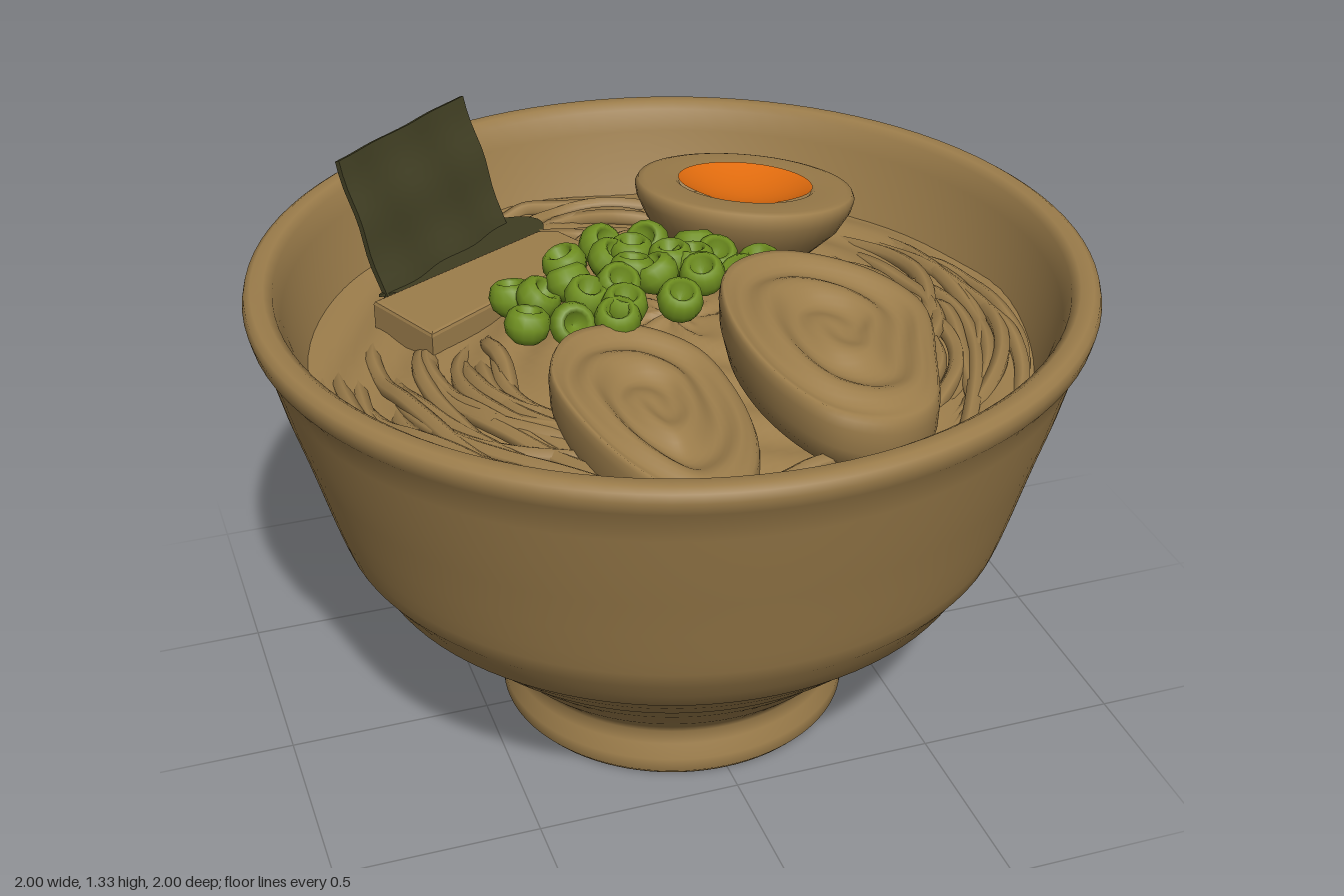
import * as THREE from 'three';

const mat = (name, color, side = THREE.FrontSide) => {
  const m = new THREE.MeshStandardMaterial({ color, side });
  m.name = name;
  return m;
};

// small seeded generator
let seed = 7;
const rnd = (a, b) => {
  seed = (seed * 16807) % 2147483647;
  return a + (b - a) * (seed / 2147483647);
};

const soupY = (x, z) => {
  const r = Math.hypot(x, z), a = Math.atan2(z, x);
  return 0.96 + 0.09 * Math.exp(-r * r / 0.25) + 0.008 * Math.sin(r * 38 + a * 3 + 2 * Math.sin(a * 4));
};

// closed disc of rings: fn(ring, turn) gives a point, turn runs 0..1 from +x to +z
function disc(rings, segs, fn) {
  const pos = [], idx = [];
  for (let i = 0; i <= rings; i++)
    for (let j = 0; j < segs; j++) pos.push(...fn(i, j / segs));
  for (let i = 0; i < rings; i++)
    for (let j = 0; j < segs; j++) {
      const a = i * segs + j, b = i * segs + (j + 1) % segs;
      idx.push(a, b + segs, a + segs, a, b, b + segs);
    }
  const g = new THREE.BufferGeometry();
  g.setAttribute('position', new THREE.Float32BufferAttribute(pos, 3));
  g.setIndex(idx);
  g.computeVertexNormals();
  return g;
}

const lathe = (pts, segs) => new THREE.LatheGeometry(pts.map(p => new THREE.Vector2(...p)), segs);

export function createModel() {
  const root = new THREE.Group();
  const tan = mat('tan', 0x9c7d4b);
  const orange = mat('yolkOrange', 0xe26c0e);
  const green = mat('onionGreen', 0x6f8f20);
  const dark = mat('seaweedDark', 0x3f3d22, THREE.DoubleSide);
  const add = (name, geo, m, parent = root) => {
    const mesh = new THREE.Mesh(geo, m);
    mesh.name = name;
    parent.add(mesh);
    return mesh;
  };

  // bowl with foot, throwing ridges and rounded rim
  add('bowl', lathe([
    [0, 0], [0.425, 0], [0.425, 0.001], [0.438, 0.015], [0.438, 0.05], [0.42, 0.085], [0.415, 0.12], [0.43, 0.145],
    [0.475, 0.19], [0.49, 0.215], [0.55, 0.27], [0.61, 0.33], [0.63, 0.345], [0.69, 0.405], [0.71, 0.43],
    [0.755, 0.465], [0.775, 0.505], [0.82, 0.565], [0.835, 0.61], [0.85, 0.66], [0.872, 0.74], [0.9, 0.84],
    [0.93, 0.94], [0.955, 1.04], [0.972, 1.1], [0.993, 1.13], [1, 1.16], [0.995, 1.18], [0.98, 1.19],
    [0.95, 1.19], [0.93, 1.175], [0.915, 1.12], [0.895, 1.05], [0.87, 0.98], [0.84, 0.9]
  ], 96), tan);

  // broth surface, rising to a mound in the middle
  add('broth', disc(36, 96, (i, t) => {
    const r = 0.88 * i / 36, a = t * Math.PI * 2;
    const x = r * Math.cos(a), z = r * Math.sin(a);
    return [x, soupY(x, z), z];
  }), tan);

  // noodle strands sweeping around the bowl: start angle, end angle, count, inner radius
  const noodles = new THREE.Group();
  noodles.name = 'noodles';
  root.add(noodles);
  for (const [from, to, count, inner] of [
    [95, 205, 20, 0.44], [-40, 62, 22, 0.4], [50, 110, 8, 0.68], [245, 295, 8, 0.45]
  ]) {
    for (let k = 0; k < count; k++) {
      const r0 = inner + (0.82 - inner) * (k + 0.5) / count;
      const span = rnd(0.5, 0.85) * (to - from);
      const a0 = from + rnd(0, to - from - span), drift = rnd(-0.09, 0.09), ph = rnd(0, 6);
      const pts = [];
      for (let s = 0; s <= 8; s++) {
        const t = s / 8, a = THREE.MathUtils.degToRad(a0 + span * t);
        const r = Math.min(0.835, r0 + drift * (t - 0.5) * 2 + 0.02 * Math.sin(t * 7 + ph));
        const x = r * Math.cos(a), z = r * Math.sin(a);
        pts.push(new THREE.Vector3(x, soupY(x, z) - 0.03 + 0.045 * Math.sin(Math.PI * t), z));
      }
      add('noodle', new THREE.TubeGeometry(new THREE.CatmullRomCurve3(pts), 28, 0.021, 6), tan, noodles);
    }
  }

  // meat slices: leaning rounded slabs with a swirl on top
  const slice = (name, cx, cy, cz, outline) => {
    const curve = new THREE.CatmullRomCurve3(outline.map(([x, z]) => new THREE.Vector3(x, 0, z)), true);
    const rim = [[0.985, -0.012], [1, -0.035], [0.99, -0.09], [0.93, -0.15], [0, -0.17]];
    add(name, disc(20 + rim.length, 64, (i, t) => {
      const u = Math.min(i / 20, 1) * 0.96;
      const [s, drop] = i > 20 ? rim[i - 21] : [u, 0];
      const p = curve.getPoint(t), dx = (p.x - cx) * s, dz = (p.z - cz) * s;
      const swirl = i > 20 ? 0 : 0.016 * Math.sin(t * Math.PI * 2 + u * 13) * Math.min(1, u * 3) * Math.min(1, (0.98 - u) * 6);
      return [cx + dx, cy - 0.22 * dx - 0.12 * dz + drop + swirl, cz + dz];
    }), tan);
  };
  slice('meatSliceLeft', -0.18, 1.07, 0.42, [
    [-0.39, 0.3], [-0.3, 0.14], [-0.13, 0.09], [0, 0.17], [0.04, 0.34], [0.02, 0.55], [-0.07, 0.72], [-0.17, 0.79],
    [-0.29, 0.68], [-0.37, 0.5]
  ]);
  slice('meatSliceRight', 0.28, 1.14, 0.34, [
    [0.03, 0.28], [0.1, 0.09], [0.27, 0], [0.47, 0.06], [0.56, 0.2], [0.5, 0.42], [0.4, 0.63], [0.27, 0.7],
    [0.14, 0.67], [0.05, 0.52]
  ]);

  // half egg with dished yolk, leaning outwards
  const egg = new THREE.Group();
  egg.name = 'halfEgg';
  egg.position.set(0.355, 1.125, -0.465);
  egg.quaternion.setFromUnitVectors(new THREE.Vector3(0, 1, 0), new THREE.Vector3(0.12, 1, -0.12).normalize());
  root.add(egg);
  add('eggWhite', lathe([
    [0, -0.2], [0.1, -0.185], [0.19, -0.145], [0.25, -0.085], [0.277, -0.035], [0.283, -0.008], [0.276, 0.006],
    [0.26, 0.01], [0.18, 0.01], [0.17, 0.002]
  ], 48), tan, egg);
  add('yolk', disc(10, 40, (i, t) => {
    const r = 0.173 * i / 10, a = t * Math.PI * 2;
    return [r * Math.cos(a), 0.012 - 0.045 * (1 - (i / 10) ** 2), r * Math.sin(a)];
  }), orange, egg);

  // bamboo shoot slab
  const slab = new THREE.Shape([
    [-0.645, -0.29], [-0.56, -0.1], [-0.1, -0.38], [-0.09, -0.42], [-0.135, -0.51], [-0.18, -0.525]
  ].map(([x, z]) => new THREE.Vector2(x, -z)));
  const bamboo = add('bambooShoot', new THREE.ExtrudeGeometry(slab, {
    depth: 0.12, bevelSize: 0.01, bevelThickness: 0.01, bevelSegments: 2
  }), tan);
  bamboo.rotation.x = -Math.PI / 2;
  bamboo.position.y = 0.92;

  // standing seaweed sheet, slightly crinkled
  const sheet = new THREE.BoxGeometry(0.48, 0.42, 0.014, 16, 12, 1);
  const p = sheet.attributes.position;
  for (let i = 0; i < p.count; i++) {
    const x = p.getX(i), y = p.getY(i);
    p.setZ(i, p.getZ(i) + 0.006 * Math.sin(x * 28 + y * 6) + 0.004 * Math.sin(y * 31));
  }
  sheet.computeVertexNormals();
  const nori = add('seaweedSheet', sheet, dark);
  nori.rotation.set(-0.38, 0.652, 0, 'YXZ');
  nori.position.set(-0.445, 1.125, -0.605);

  // soaked end of the seaweed lying on the broth
  const soaked = new THREE.Shape();
  soaked.moveTo(-0.62, 0.42);
  soaked.lineTo(-0.28, 0.74);
  soaked.splineThru([[-0.16, 0.725], [-0.13, 0.66], [-0.2, 0.55], [-0.36, 0.45], [-0.5, 0.415], [-0.62, 0.42]]
    .map(q => new THREE.Vector2(...q)));
  const flat = add('soakedSeaweed', new THREE.ExtrudeGeometry(soaked, { depth: 0.008, bevelEnabled: false }), dark);
  flat.rotation.x = -Math.PI / 2;
  flat.position.y = 0.99;

  // chopped spring onion rings, heaped in the middle
  const onions = new THREE.Group();
  onions.name = 'springOnions';
  root.add(onions);
  const ring = lathe([
    [0, -0.045], [0.03, -0.043], [0.049, -0.025], [0.056, 0], [0.049, 0.026], [0.036, 0.037], [0.027, 0.032],
    [0.022, 0.01], [0, -0.005]
  ], 14);
  for (const [x, z] of [
    [-0.09, -0.28], [0.02, -0.25], [-0.2, -0.22], [-0.35, -0.16], [-0.3, -0.1], [-0.22, -0.12], [0.13, -0.21],
    [0.27, -0.13], [0.16, -0.14], [0.19, -0.04], [0.09, -0.04], [0.04, -0.13], [-0.04, -0.19], [-0.07, -0.09],
    [-0.12, -0.04], [-0.02, -0.06], [-0.35, -0.02], [-0.2, -0.03], [-0.26, 0.05], [-0.13, 0.04], [0, 0.06],
    [-0.16, 0.08], [-0.1, -0.17], [0.09, -0.11]
  ]) {
    const o = add('onionRing', ring, green, onions);
    o.position.set(x, 1.135 - 0.6 * ((x + 0.04) ** 2 + (z + 0.1) ** 2), z);
    o.rotation.set(rnd(-0.5, 0.7), rnd(0, 6), rnd(-0.6, 0.6));
  }
  return root;
}
